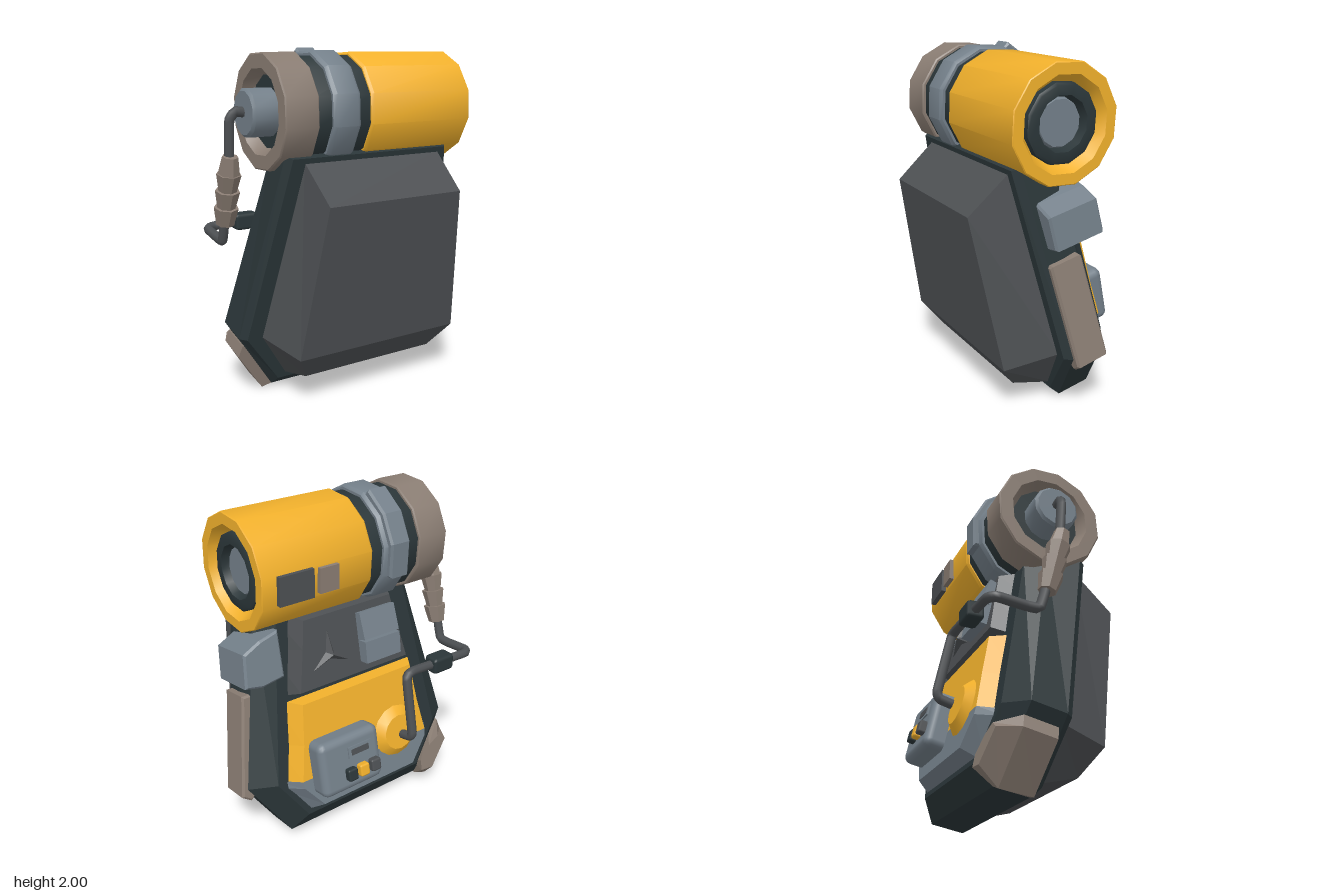
import * as THREE from 'three';
import { toCreasedNormals } from 'three/addons/utils/BufferGeometryUtils.js';
import { RoundedBoxGeometry } from 'three/addons/geometries/RoundedBoxGeometry.js';

const paint = (color) => new THREE.MeshStandardMaterial({ color, side: THREE.DoubleSide });
const DARK = paint(0x2b3639), SLATE = paint(0x4d5053), STEEL = paint(0x74808a);
const TAUPE = paint(0x8a7d73), YELLOW = paint(0xf2b12c);

function add(parent, name, geometry, material, x = 0, y = 0, z = 0) {
  const mesh = new THREE.Mesh(geometry, material);
  mesh.name = name;
  mesh.position.set(x, y, z);
  parent.add(mesh);
  return mesh;
}

// Six-cornered section: three half widths, each with a height and a depth.
function hex(cx, [tw, ty, tz], [mw, my, mz], [bw, by, bz]) {
  return [[cx + tw, ty, tz], [cx - tw, ty, tz], [cx - mw, my, mz],
    [cx - bw, by, bz], [cx + bw, by, bz], [cx + mw, my, mz]];
}
const flatHex = (cx, z, t, m, b) => hex(cx, [...t, z], [...m, z], [...b, z]);

// Faceted solid through hex sections, listed back to front.
function loft(rings) {
  const pos = [];
  const quad = (a, b, c, d) => pos.push(...a, ...b, ...c, ...a, ...c, ...d);
  for (let r = 0; r + 1 < rings.length; r++) {
    const A = rings[r], B = rings[r + 1];
    for (let i = 0; i < 6; i++) quad(A[i], A[(i + 1) % 6], B[(i + 1) % 6], B[i]);
  }
  const F = rings[rings.length - 1], K = rings[0];
  quad(F[0], F[1], F[2], F[5]);
  quad(F[5], F[2], F[3], F[4]);
  quad(K[5], K[2], K[1], K[0]);
  quad(K[4], K[3], K[2], K[5]);
  const g = new THREE.BufferGeometry();
  g.setAttribute('position', new THREE.Float32BufferAttribute(pos, 3));
  g.computeVertexNormals();
  return g;
}

// Polygon extruded along z with a small chamfer.
function prism(points, depth, bevel = 0.012) {
  const shape = new THREE.Shape(points.map(([x, y]) => new THREE.Vector2(x, y)));
  return new THREE.ExtrudeGeometry(shape, {
    depth: depth - 2 * bevel, bevelEnabled: true, bevelSegments: 1,
    bevelSize: bevel, bevelThickness: bevel, bevelOffset: -bevel,
  }).translate(0, 0, bevel);
}

// Twelve-sided turned part along x; profile is [radius, x].
function turned(profile) {
  const g = new THREE.LatheGeometry(profile.map(([r, x]) => new THREE.Vector2(r, x)), 12);
  return toCreasedNormals(g.rotateZ(-Math.PI / 2), 0.7);
}

function buildPack() {
  const pack = new THREE.Group();
  pack.name = 'pack';
  pack.rotation.x = 0.21;

  // main frame and padded front
  add(pack, 'frame', loft([
    flatHex(0.02, -0.36, [0.44, 1.36], [0.59, 0.38], [0.42, 0.12]),
    flatHex(0.02, -0.26, [0.52, 1.4], [0.735, 0.38], [0.5, 0.01]),
    flatHex(0.02, -0.06, [0.54, 1.46], [0.735, 0.38], [0.5, 0.015]),
    flatHex(0.02, -0.02, [0.51, 1.455], [0.7, 0.385], [0.48, 0.07]),
  ]), DARK);
  add(pack, 'frontPad', loft([
    flatHex(0.035, -0.03, [0.45, 1.43], [0.625, 0.385], [0.45, 0.1]),
    hex(0.035, [0.435, 1.278, 0.245], [0.535, 0.386, 0.276], [0.44, 0.21, 0.195]),
  ]), SLATE);

  // back panels
  add(pack, 'upperBackPanel', loft([
    flatHex(0.04, -0.44, [0.3, 1.31], [0.33, 1.15], [0.38, 0.91]),
    flatHex(0.04, -0.24, [0.41, 1.38], [0.44, 1.15], [0.48, 0.87]),
  ]), SLATE);
  add(pack, 'yellowPanel', loft([
    flatHex(0.03, -0.44, [0.39, 0.84], [0.42, 0.6], [0.46, 0.385]),
    flatHex(0.03, -0.29, [0.49, 0.87], [0.52, 0.6], [0.56, 0.37]),
  ]), YELLOW);
  add(pack, 'lowerBackPanel', loft([
    flatHex(0.03, -0.44, [0.46, 0.385], [0.455, 0.34], [0.34, 0.19]),
    flatHex(0.03, -0.31, [0.56, 0.38], [0.56, 0.34], [0.42, 0.13]),
  ]), STEEL);

  // folded patch and three-pointed stud on the upper panel
  const patch = [[1.185, 0.16, 0.15, -0.458], [1.035, 0.13, -0.05, -0.47]];
  for (const [v, h, tilt, w] of patch) {
    add(pack, 'patch', new THREE.BoxGeometry(0.25, h, 0.07), STEEL, -0.13, v, w).rotation.x = tilt;
  }
  const stud = [];
  const corner = (i) => {
    const r = i % 2 ? 0.03 : 0.14, a = Math.PI / 2 + i * Math.PI / 3;
    return [r * Math.cos(a), r * Math.sin(a), 0];
  };
  for (let i = 0; i < 6; i++) stud.push(...corner(i + 1), ...corner(i), 0, 0, -0.04);
  const studGeo = new THREE.BufferGeometry();
  studGeo.setAttribute('position', new THREE.Float32BufferAttribute(stud, 3));
  studGeo.computeVertexNormals();
  add(pack, 'stud', studGeo, SLATE, 0.2, 1.08, -0.441);

  // side pieces
  add(pack, 'sidePouch', prism([[0.6, 0.93], [0.69, 0.93], [0.795, 0.34], [0.74, 0.3], [0.66, 0.36]], 0.2),
    TAUPE, 0, 0, -0.26);
  add(pack, 'sideBox', prism([[0.48, 1.29], [0.6, 1.26], [0.705, 1.21], [0.725, 1.02], [0.62, 1.0], [0.48, 1.02]], 0.31),
    STEEL, 0, 0, -0.4);
  add(pack, 'cornerGuard', loft([
    [[-0.5, 0.22], [-0.58, 0.26], [-0.64, 0.22], [-0.51, 0.06], [-0.42, 0.07], [-0.42, 0.14]].map((p) => [...p, -0.385]),
    [[-0.6, 0.28], [-0.68, 0.31], [-0.7, 0.24], [-0.53, -0.03], [-0.45, 0.0], [-0.44, 0.1]].map((p) => [...p, -0.27]),
    [[-0.6, 0.28], [-0.68, 0.31], [-0.7, 0.24], [-0.53, -0.015], [-0.47, 0.0], [-0.46, 0.1]].map((p) => [...p, -0.08]),
  ]), TAUPE);

  // control box with slot and buttons
  add(pack, 'controlBox', new RoundedBoxGeometry(0.42, 0.34, 0.16, 2, 0.045), STEEL, 0.215, 0.445, -0.475);
  add(pack, 'slotFrame', new THREE.BoxGeometry(0.16, 0.07, 0.015), STEEL, 0.16, 0.51, -0.556);
  add(pack, 'slot', new THREE.BoxGeometry(0.12, 0.035, 0.015), SLATE, 0.16, 0.51, -0.56);
  [SLATE, YELLOW, DARK].forEach((m, i) => {
    add(pack, 'button', new RoundedBoxGeometry(0.065, 0.075, 0.07, 1, 0.012), m, 0.075 + i * 0.083, 0.385, -0.56);
  });

  // hose socket
  const dome = new THREE.CylinderGeometry(0.165, 0.11, 0.045, 14).rotateX(Math.PI / 2);
  add(pack, 'hoseSocket', toCreasedNormals(dome, 0.6), YELLOW, -0.2, 0.46, -0.46);
  return pack;
}

function buildRoll() {
  const roll = new THREE.Group();
  roll.name = 'roll';
  roll.position.set(0, 1.66, 0.035);
  const spun = new THREE.Group();
  spun.name = 'rollBody';
  spun.rotation.x = 0.21;
  roll.add(spun);

  add(spun, 'canister', turned([[0.3, -0.035], [0.313, -0.035], [0.325, -0.02], [0.325, 0.65],
    [0.32, 0.655], [0.26, 0.655], [0.215, 0.58]]), YELLOW);
  add(spun, 'lensRing', turned([[0.22, 0.55], [0.215, 0.62], [0.2, 0.63], [0.15, 0.63], [0.135, 0.57]]), DARK);
  add(spun, 'lens', turned([[0.14, 0.56], [0.125, 0.595], [0, 0.595]]), STEEL);
  add(spun, 'core', turned([[0, -0.5], [0.25, -0.5], [0.305, -0.37], [0.305, -0.03], [0, -0.03]]), DARK);
  add(spun, 'endRing', turned([[0.2, -0.49], [0.24, -0.565], [0.317, -0.565], [0.325, -0.557],
    [0.325, -0.372], [0.317, -0.365], [0.29, -0.365]]), TAUPE);
  add(spun, 'endCap', turned([[0, -0.655], [0.12, -0.655], [0.135, -0.64], [0.135, -0.49]]), STEEL);
  add(spun, 'strap', turned([[0.29, -0.28], [0.32, -0.28], [0.335, -0.26], [0.335, -0.13],
    [0.32, -0.11], [0.29, -0.11]]), STEEL);

  // thick buckle section of the strap around the back
  const arc = (r, list) => list.map((d) => [r * Math.cos(d * Math.PI / 180), r * Math.sin(d * Math.PI / 180)]);
  const buckle = prism([...arc(0.368, [-17, 14, 41, 68]), ...arc(0.29, [76, 41, 14, -22])], 0.13);
  add(roll, 'strapBuckle', buckle.rotateY(Math.PI / 2), STEEL, -0.26);

  // small plates on the back
  add(roll, 'plate', new THREE.BoxGeometry(0.21, 0.16, 0.05), SLATE, 0.465, -0.01, -0.315);
  add(roll, 'smallPlate', new THREE.BoxGeometry(0.12, 0.14, 0.05), TAUPE, 0.265, -0.01, -0.315);
  return roll;
}

function buildHose() {
  const hose = new THREE.Group();
  hose.name = 'hose';
  const path = [[-0.63, 1.66, 0.03], [-0.7, 1.67, 0.03], [-0.73, 1.62, 0.02], [-0.73, 1.4, 0.0], [-0.73, 1.02, -0.1],
    [-0.73, 0.93, -0.13], [-0.725, 0.93, -0.2], [-0.72, 0.95, -0.36], [-0.67, 0.955, -0.4],
    [-0.26, 0.975, -0.405], [-0.2, 0.95, -0.415], [-0.2, 0.61, -0.485], [-0.2, 0.57, -0.47], [-0.2, 0.55, -0.4]];
  const curve = new THREE.CatmullRomCurve3(path.map((p) => new THREE.Vector3(...p)), false, 'catmullrom', 0.15);
  add(hose, 'hoseTube', new THREE.TubeGeometry(curve, 120, 0.028, 8), SLATE);

  // ribbed sleeve
  for (let i = 0; i < 4; i++) {
    const rib = toCreasedNormals(new THREE.CylinderGeometry(i ? 0.07 : 0.045, i ? 0.05 : 0.062, 0.105, 7), 0.4);
    const t = i * 0.097;
    add(hose, 'sleeveRib', rib, TAUPE, -0.73, 1.38 - t, 0.005 - t * 0.26).rotation.x = 0.25;
  }
  add(hose, 'hoseClamp', new RoundedBoxGeometry(0.15, 0.1, 0.1, 1, 0.02), DARK, -0.465, 0.965, -0.4);
  return hose;
}

export function createModel() {
  const model = new THREE.Group();
  model.name = 'backpack';
  model.add(buildPack(), buildRoll(), buildHose());
  return model;
}
